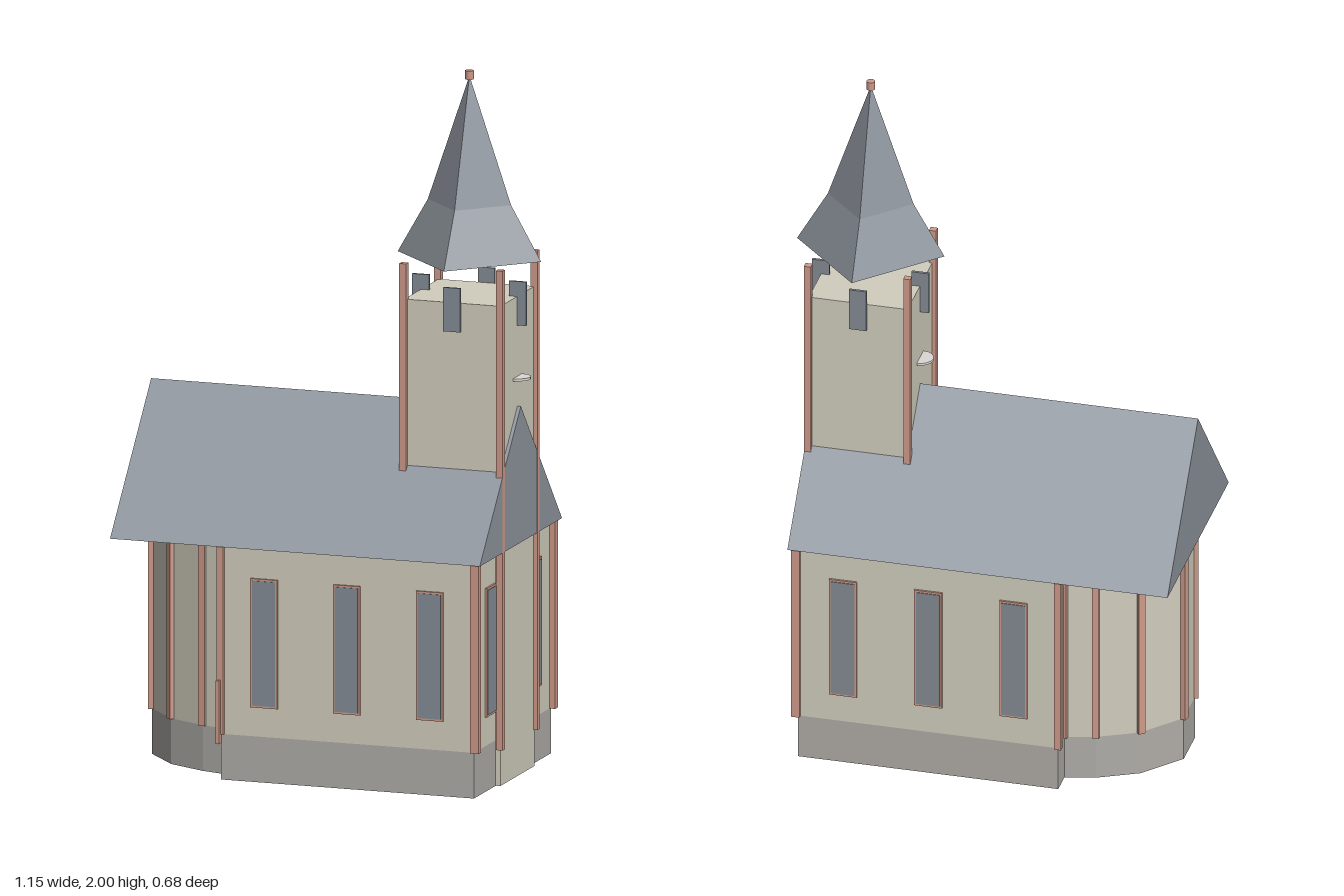
import * as THREE from 'three';

const mat = (name, color) => {
  const m = new THREE.MeshStandardMaterial({ color });
  m.name = name;
  return m;
};

export function createModel() {
  const root = new THREE.Group();
  root.name = 'chapel';
  const wall = mat('cream plaster', 0xd2cebe);
  const stone = mat('grey stone', 0xb0ada8);
  const slate = mat('slate roof', 0x8e959d);
  const timber = mat('pink timber', 0xcf9b8a);
  const glass = mat('window grey', 0x858c95);
  const dial = mat('pale dial', 0xd9d8d4);

  const add = (name, geo, material, x = 0, y = 0, z = 0, parent = root) => {
    const m = new THREE.Mesh(geo, material);
    m.name = name;
    m.position.set(x, y, z);
    parent.add(m);
    return m;
  };
  // Box spanning y0..y1, centred on x and z
  const block = (name, material, x, z, w, d, y0, y1, parent = root) =>
    add(name, new THREE.BoxGeometry(w, y1 - y0, d), material, x, (y0 + y1) / 2, z, parent);
  // Horizontal polygon raised from y0 to y1
  const slab = (name, material, pts, y0, y1) => {
    const shape = new THREE.Shape(pts.map(([x, z]) => new THREE.Vector2(x, -z)));
    const geo = new THREE.ExtrudeGeometry(shape, { depth: y1 - y0, bevelEnabled: false });
    geo.rotateX(-Math.PI / 2);
    return add(name, geo, material, 0, y0, 0);
  };

  // Footprint: rectangular nave with a narrower faceted apse at -x
  const apse = [[-0.258, 0.25], [-0.343, 0.228], [-0.457, 0.172], [-0.553, 0.063]];
  const half = [[0.49, 0.317], [-0.258, 0.317], ...apse];
  const footprint = [...half, ...half.map(([x, z]) => [x, -z]).reverse()];
  slab('plinth', stone, footprint, 0, 0.13);
  slab('walls', wall, footprint, 0.13, 0.668);

  // Gabled roof
  const gable = new THREE.Shape([
    new THREE.Vector2(-0.34, 0.667), new THREE.Vector2(0.34, 0.667), new THREE.Vector2(0, 1.055)]);
  const roofGeo = new THREE.ExtrudeGeometry(gable, { depth: 1.093, bevelEnabled: false });
  roofGeo.rotateY(Math.PI / 2);
  add('roof', roofGeo, slate, -0.578);

  // Timber posts at nave corners and apse corners
  for (const s of [1, -1]) {
    block('navePost', timber, 0.495, s * 0.317, 0.024, 0.024, 0.13, 0.667);
    block('navePost', timber, -0.258, s * 0.317, 0.02, 0.02, 0.13, 0.667);
    for (const [x, z] of apse) {
      const p = block('apsePost', timber, x, s * z, 0.02, 0.02, 0.13, 0.667);
      p.rotation.y = Math.atan2(s * z, -(x + 0.3));
    }
  }
  block('wallBracket', timber, -0.261, 0.33, 0.01, 0.02, 0.105, 0.285);

  // Framed windows, built facing +z and turned to each wall
  const addWindow = (x, z, turn) => {
    const g = new THREE.Group();
    g.name = 'window';
    g.position.set(x, 0, z);
    g.rotation.y = turn;
    root.add(g);
    block('windowFrame', timber, 0, 0.002, 0.08, 0.008, 0.213, 0.58, g);
    block('windowPane', glass, 0, 0.004, 0.068, 0.008, 0.219, 0.574, g);
  };
  for (const x of [-0.13, 0.115, 0.36]) {
    addWindow(x, 0.317, 0);
    addWindow(x, -0.317, Math.PI);
  }
  for (const s of [1, -1]) addWindow(0.49, s * 0.188, Math.PI / 2);

  // Tower with four corner posts
  const cx = 0.363;
  block('tower', wall, cx, 0, 0.284, 0.282, 0.001, 1.367);
  for (const s of [1, -1]) {
    block('towerFrontPost', timber, 0.506, s * 0.143, 0.02, 0.02, 0.105, 1.47);
    block('towerRearPost', timber, 0.22, s * 0.143, 0.02, 0.02, 0.88, 1.47);
    // Louvre plates and flat dials
    block('louvre', glass, cx, s * 0.143, 0.05, 0.008, 1.285, 1.41);
    block('louvre', glass, cx + s * 0.143, 0, 0.05, 0.008, 1.285, 1.41);
    add('dial', new THREE.CylinderGeometry(0.037, 0.037, 0.007, 16), dial, cx + s * 0.143, 1.136, 0);
  }

  // Flared four-sided spire
  const profile = [[0, 1.47], [0.212, 1.47], [0.123, 1.625], [0, 1.985]]
    .map(([r, y]) => new THREE.Vector2(r, y));
  const spireGeo = new THREE.LatheGeometry(profile, 4).toNonIndexed();
  spireGeo.computeVertexNormals();
  add('spire', spireGeo, slate, cx);
  add('finial', new THREE.CylinderGeometry(0.012, 0.012, 0.025, 10), timber, cx, 1.9875, 0);

  return root;
}
